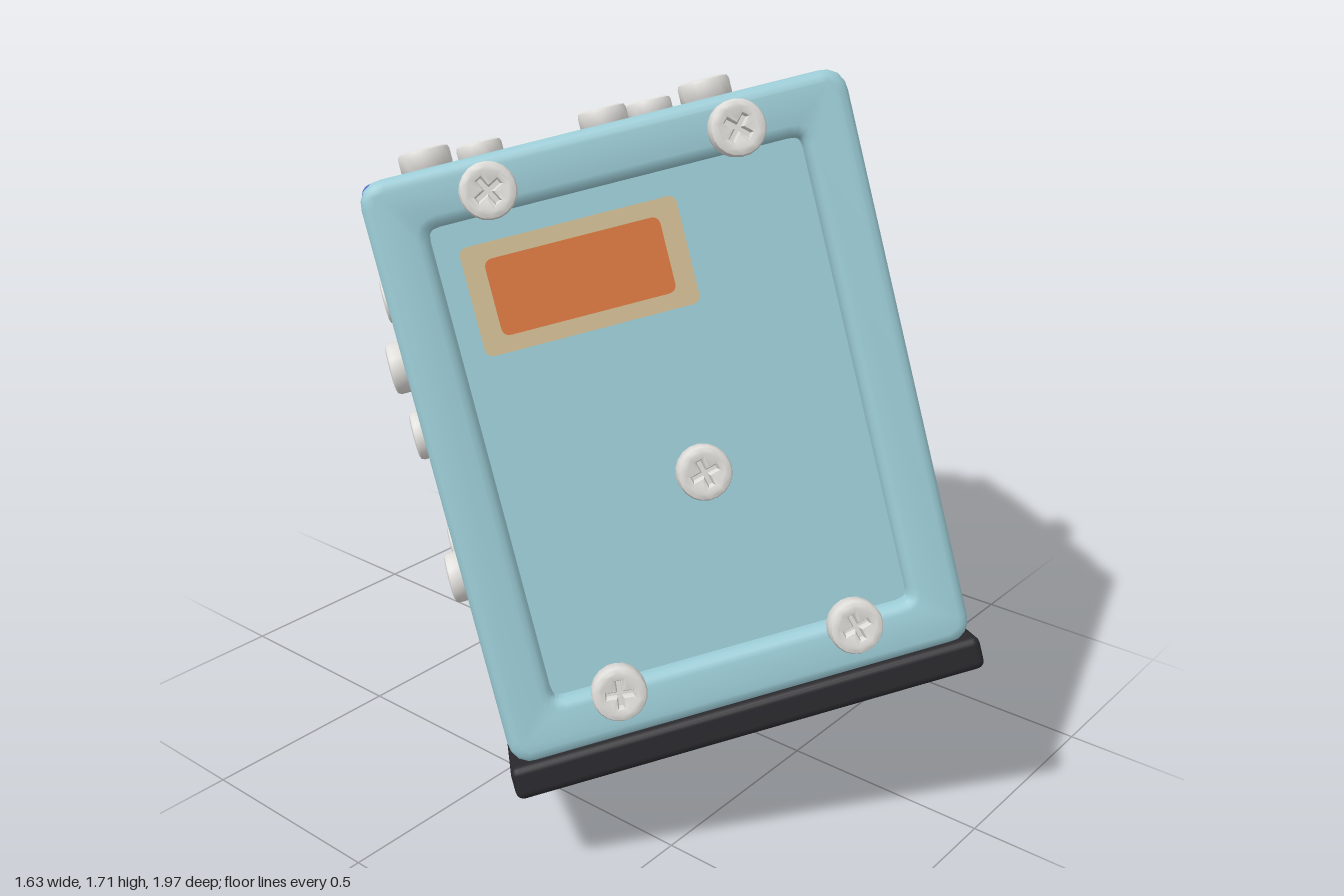
import * as THREE from 'three';
import { toCreasedNormals } from 'three/addons/utils/BufferGeometryUtils.js';
import { RoundedBoxGeometry } from 'three/addons/geometries/RoundedBoxGeometry.js';

const mat = (name, color) => new THREE.MeshStandardMaterial({ name, color });

export function createModel() {
  const teal = mat('pale teal', 0x9bcbd5), blue = mat('royal blue', 0x5a6cc2);
  const glass = mat('window blue', 0x4a97d3), black = mat('base black', 0x29282c);
  const grey = mat('steel grey', 0x918e9e), white = mat('screw white', 0xdfddd9);
  const cream = mat('label cream', 0xd0bb92), orange = mat('label orange', 0xd9773f);
  const amber = mat('amber', 0xd69a10), gold = mat('wheel gold', 0xd9b22c);

  const add = (parent, name, geo, material, x = 0, y = 0, z = 0) => {
    const m = new THREE.Mesh(geo, material);
    m.name = name;
    m.position.set(x, y, z);
    parent.add(m);
    return m;
  };

  // Rounded rectangle outline
  const rect = (w, h, r, P = THREE.Shape) => {
    const s = new P(), a = w / 2, b = h / 2;
    s.moveTo(-a + r, -b);
    s.lineTo(a - r, -b); s.quadraticCurveTo(a, -b, a, -b + r);
    s.lineTo(a, b - r); s.quadraticCurveTo(a, b, a - r, b);
    s.lineTo(-a + r, b); s.quadraticCurveTo(-a, b, -a, b - r);
    s.lineTo(-a, -b + r); s.quadraticCurveTo(-a, -b, -a + r, -b);
    return s;
  };
  // Bevelled slab centred on z, optionally with a rectangular opening
  const slab = (w, h, d, bevel, r, hole, segs = 3) => {
    const s = rect(w - 2 * bevel, h - 2 * bevel, r);
    if (hole) s.holes.push(rect(hole[0] + 2 * bevel, hole[1] + 2 * bevel, 0.05, THREE.Path));
    const g = new THREE.ExtrudeGeometry(s, {
      depth: d - 2 * bevel, bevelSize: bevel, bevelThickness: bevel, bevelSegments: segs, curveSegments: 4 });
    g.translate(0, 0, bevel - d / 2);
    return toCreasedNormals(g, 0.6);
  };

  // Cross-head screw, pointing along +z
  const head = new THREE.Shape().absarc(0, 0, 0.049, 0, Math.PI * 2);
  const cross = new THREE.Path(), a = 0.016, b = 0.04;
  cross.setFromPoints([[a, a], [b, a], [b, -a], [a, -a], [a, -b], [-a, -b], [-a, -a], [-b, -a],
    [-b, a], [-a, a], [-a, b], [a, b]].map(p => new THREE.Vector2(...p)));
  head.holes.push(cross);
  const headGeo = toCreasedNormals(new THREE.ExtrudeGeometry(head, {
    depth: 0.03, bevelSize: 0.011, bevelThickness: 0.011, bevelSegments: 2, curveSegments: 10 }), 0.7);
  const footGeo = new THREE.CylinderGeometry(0.052, 0.052, 0.03, 20).rotateX(Math.PI / 2);
  let count = 0;
  const screw = (parent, x, y, z, dx, dy, dz) => {
    const g = new THREE.Group();
    g.name = 'screw';
    add(g, 'screwHead', headGeo, white, 0, 0, 0.01);
    add(g, 'screwFoot', footGeo, white, 0, 0, 0.013);
    g.position.set(x, y, z);
    g.quaternion.setFromUnitVectors(new THREE.Vector3(0, 0, 1), new THREE.Vector3(dx, dy, dz).normalize());
    g.rotateZ(0.25 + 0.6 * (count++ % 4));
    parent.add(g);
  };

  const safe = new THREE.Group();
  safe.name = 'tiltedSafe';
  safe.position.set(-0.11, 0.2265, 0.335);
  safe.rotation.set(-0.32, 2.42, 0);
  const mid = 0.7125, H = 1.285, W = 1.05;

  // Base plate
  add(safe, 'basePlate', new RoundedBoxGeometry(1.07, 0.075, 0.95, 2, 0.018), black, 0, 0.0375, 0);
  [[0, -0.265], [-0.245, 0.02], [0.262, 0.07], [0.03, 0.31]].forEach(([x, z]) => screw(safe, x, 0, z, 0, -1, 0));

  // Rear slab with recessed panel and label
  add(safe, 'rearFrame', slab(W, H, 0.14, 0.025, 0.03, [0.81, 1.04]), teal, 0, mid, -0.395);
  add(safe, 'rearPanel', new THREE.BoxGeometry(0.9, 1.12, 0.07), teal, 0, mid, -0.392);
  const label = (name, w, h, m, z) => add(safe, name,
    new THREE.ExtrudeGeometry(rect(w, h, 0.02), { depth: 0.004, bevelEnabled: false }), m, 0.12, 1.06, z);
  label('labelBorder', 0.47, 0.235, cream, -0.431);
  label('labelCentre', 0.38, 0.165, orange, -0.434);
  [-0.265, 0.265].forEach(x => [0.183, 1.28].forEach(y => screw(safe, x, y, -0.465, 0, 0, -1)));
  screw(safe, -0.03, 0.59, -0.428, 0, 0, -1);

  // Middle body: roof, floor and window walls
  add(safe, 'roof', new RoundedBoxGeometry(W - 0.004, 0.08, 0.66, 3, 0.025), blue, 0, 1.314, -0.005);
  add(safe, 'floor', new THREE.BoxGeometry(W - 0.03, 0.07, 0.66), blue, 0, 0.11, -0.005);
  [-1, 1].forEach(s => {
    const wall = new THREE.Group();
    wall.name = s > 0 ? 'leftWall' : 'rightWall';
    wall.position.set(s * 0.52, mid, -0.005);
    wall.rotation.y = s * Math.PI / 2;
    add(wall, 'wallFrame', slab(0.645, H - 0.03, 0.05, 0.008, 0.02, [0.49, 0.85], 2), blue, 0, 0, -0.023);
    add(wall, 'wallOverlay', slab(0.62, 0.95, 0.02, 0.004, 0.01, [0.5, 0.86], 1), blue, 0, 0, -0.005);
    add(wall, 'wallBack', new THREE.BoxGeometry(0.6, 1.0, 0.03), blue, 0, 0, -0.05);
    add(wall, 'innerFrame', slab(0.47, 0.83, 0.03, 0.006, 0.03, [0.41, 0.75], 1), blue, 0, 0, -0.035);
    add(wall, 'window', slab(0.36, 0.61, 0.05, 0.022, 0.005, null, 1), glass, 0, 0, -0.022);
    safe.add(wall);
  });
  [[0.375, -0.09], [-0.065, 0.123], [-0.28, -0.13], [0.236, 0.415], [-0.22, 0.415]]
    .forEach(([x, z]) => screw(safe, x, 1.354, z, 0, 1, 0));
  screw(safe, -0.522, 1.295, -0.02, -1, 0, 0);
  [[0.94, -0.117], [0.75, 0.08], [0.424, -0.078], [1.067, 0.38], [0.4, 0.38]]
    .forEach(([y, z]) => screw(safe, 0.522, y, z, 1, 0, 0));

  // Door frame around the opening
  add(safe, 'doorFrame', slab(W, H, 0.15, 0.025, 0.03, [0.77, 0.98]), teal, 0, mid, 0.39);
  [[-0.01, 0.165], [0.244, 0.168], [0.45, 1.2]].forEach(([x, y]) => screw(safe, x, y, 0.465, 0, 0, 1));

  // Shelf and bullion inside
  add(safe, 'shelf', new THREE.BoxGeometry(0.96, 0.04, 0.58), grey, 0, 0.68, 0);
  const barShape = new THREE.Shape([[-0.085, 0], [0.085, 0], [0.06, 0.1], [-0.06, 0.1]].map(p => new THREE.Vector2(...p)));
  const barGeo = new THREE.ExtrudeGeometry(barShape, { depth: 0.34, bevelEnabled: false }).translate(0, 0, -0.17);
  [[-0.28, 0.145], [-0.02, 0.145], [0.25, 0.145], [-0.14, 0.246], [0.12, 0.246], [-0.15, 0.7], [0.08, 0.7], [0.29, 0.7]]
    .forEach(([x, y], i) => { add(safe, 'goldBar', barGeo, amber, x, y, 0.08).rotation.y = 0.12 * (i % 3 - 1); });

  // Hinges
  [0.42, 0.99].forEach(y => {
    add(safe, 'hinge', new THREE.CylinderGeometry(0.052, 0.052, 0.18, 20), grey, -0.565, y, 0.505);
    add(safe, 'hingeLeaf', new THREE.BoxGeometry(0.1, 0.14, 0.06), grey, -0.53, y, 0.49);
    screw(safe, -0.61, y, 0.5, -1, 0, 0);
  });

  // Door, standing ajar; its outer face is at z = 0
  const door = new THREE.Group();
  door.name = 'door';
  door.position.set(-0.13, mid, 0.834);
  door.rotation.y = -0.534;
  safe.add(door);
  add(door, 'doorSlab', slab(0.96, 1.05, 0.1, 0.035, 0.04), blue, 0, 0, -0.05);
  add(door, 'doorInnerBlock', slab(0.74, 0.84, 0.12, 0.01, 0.01, null, 1), grey, 0, 0, -0.145);
  [-0.08, -0.28].forEach(y =>
    add(door, 'lockBolt', new THREE.CylinderGeometry(0.032, 0.032, 0.12, 16).rotateZ(Math.PI / 2), grey, 0.41, y, -0.15));

  // Door trim with corner studs
  const trim = rect(0.75, 0.87, 0.03), p = 0.335, q = 0.395, c = 0.06;
  trim.holes.push(new THREE.Path([[p - c, q], [p, q - c], [p, c - q], [p - c, -q], [c - p, -q], [-p, c - q],
    [-p, q - c], [c - p, q]].map(v => new THREE.Vector2(...v))));
  add(door, 'doorTrim', new THREE.ExtrudeGeometry(trim, { depth: 0.006, bevelEnabled: false }), amber);
  [-1, 1].forEach(i => [-1, 1].forEach(j => add(door, 'cornerStud',
    new THREE.CylinderGeometry(0.02, 0.02, 0.008, 12).rotateX(Math.PI / 2), orange, i * 0.337, j * 0.398, 0.006)));

  // Handwheel
  const wheel = new THREE.Group();
  wheel.name = 'handwheel';
  wheel.position.set(0.02, -0.025, 0);
  door.add(wheel);
  add(wheel, 'wheelRim', new THREE.TorusGeometry(0.225, 0.06, 16, 48), gold, 0, 0, 0.1);
  add(wheel, 'wheelShaft', new THREE.CylinderGeometry(0.05, 0.06, 0.1, 24).rotateX(Math.PI / 2), gold, 0, 0, 0.05);
  add(wheel, 'wheelHub', new THREE.CylinderGeometry(0.065, 0.085, 0.09, 24).rotateX(Math.PI / 2), gold, 0, 0, 0.125);
  const spoke = new THREE.Shape([[0.04, -0.02], [0.2, -0.05], [0.2, 0.05], [0.04, 0.02]].map(v => new THREE.Vector2(...v)));
  const spokeGeo = new THREE.ExtrudeGeometry(spoke, { depth: 0.045, bevelEnabled: false });
  [1.75, 3.84, 5.93].forEach(t => { add(wheel, 'wheelSpoke', spokeGeo, gold, 0, 0, 0.08).rotation.z = t; });
  screw(wheel, 0.01, 0, 0.168, 0, 0, 1);
  // Screws on the rim: angle around the wheel, tilt outwards from the door normal
  [[3.14, 0.1], [-0.96, 0.8], [0.62, 1.4]].forEach(([t, k]) => {
    const R = 0.225 + 0.056 * Math.sin(k), x = Math.cos(t), y = Math.sin(t);
    screw(wheel, R * x, R * y, 0.1 + 0.056 * Math.cos(k), x * Math.sin(k), y * Math.sin(k), Math.cos(k));
  });

  // Loose door screws
  screw(door, 0.24, 0.332, 0, 0, 0, 1);
  screw(door, -0.237, -0.307, 0, 0, 0, 1);
  screw(door, 0.02, 0.42, -0.14, 0, 1, 0);
  [[0.22, 0.26], [0.26, 0.04], [-0.02, -0.08]].forEach(([x, y]) => screw(door, x, y, -0.203, 0, 0.01, -1));

  const model = new THREE.Group();
  model.name = 'safeModel';
  model.add(safe);
  return model;
}
